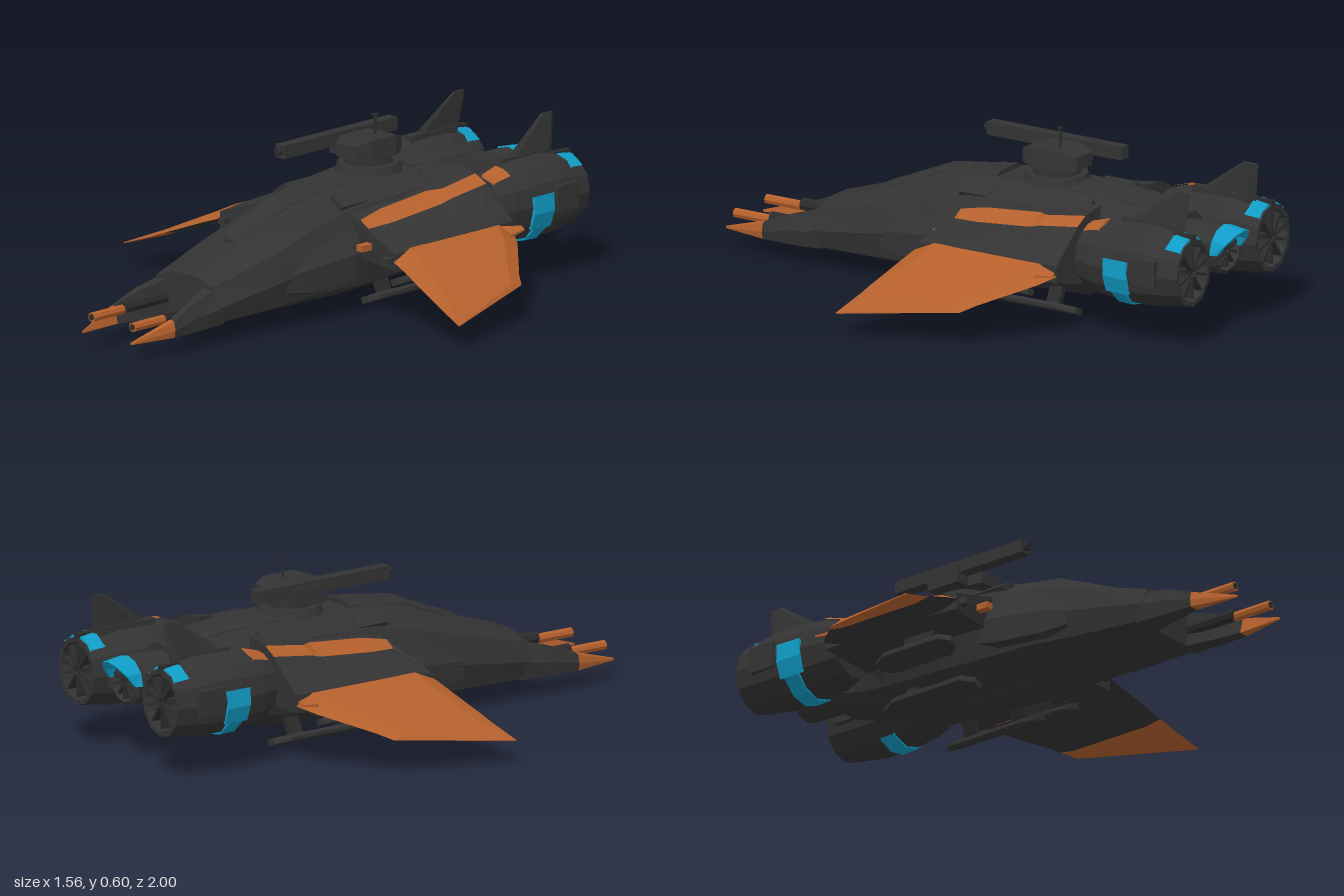
import * as THREE from 'three';

const mat = (name, color) => Object.assign(new THREE.MeshStandardMaterial({ color }), { name });

// Swap two corners of every triangle
function flip(geo) {
  const p = geo.attributes.position, a = new THREE.Vector3(), b = new THREE.Vector3();
  for (let i = 0; i < p.count; i += 3) {
    a.fromBufferAttribute(p, i + 1); b.fromBufferAttribute(p, i + 2);
    p.setXYZ(i + 1, b.x, b.y, b.z); p.setXYZ(i + 2, a.x, a.y, a.z);
  }
  return geo;
}

// Signed volume, used to turn a closed loft outward
function volume(geo) {
  const p = geo.attributes.position, v = [0, 1, 2].map(() => new THREE.Vector3());
  let sum = 0;
  for (let i = 0; i < p.count; i += 3) {
    v.forEach((q, k) => q.fromBufferAttribute(p, i + k));
    sum += v[0].dot(v[1].clone().cross(v[2]));
  }
  return sum;
}

// Skin a list of rings and cap both ends; edges picked by isSecond go to material group 1
function loft(rings, isSecond = () => false) {
  const n = rings[0].length, tris = [[], []];
  for (let i = 0; i < rings.length - 1; i++) {
    for (let k = 0; k < n; k++) {
      const m = (k + 1) % n, A = rings[i], B = rings[i + 1];
      tris[isSecond(k) ? 1 : 0].push(...A[k], ...A[m], ...B[k], ...A[m], ...B[m], ...B[k]);
    }
  }
  const end = rings[rings.length - 1];
  for (let k = 1; k < n - 1; k++) {
    tris[0].push(...rings[0][0], ...rings[0][k + 1], ...rings[0][k]);
    tris[0].push(...end[0], ...end[k], ...end[k + 1]);
  }
  const geo = new THREE.BufferGeometry();
  geo.setAttribute('position', new THREE.Float32BufferAttribute([...tris[0], ...tris[1]], 3));
  geo.addGroup(0, tris[0].length / 3, 0);
  geo.addGroup(tris[0].length / 3, tris[1].length / 3, 1);
  return volume(geo) < 0 ? flip(geo) : geo;
}

const ring = (z, pts) => pts.map(([x, y]) => [x, y, z]);
const symRing = (z, half) => ring(z, [...half, ...half.map(([x, y]) => [-x, y]).reverse()]);

// Wing cross-section at x: sharp leading and trailing edge, flat top and bottom
function wingRing([x, y, zf, zb, t]) {
  const a = zf + (zb - zf) * 0.14, b = zf + (zb - zf) * 0.88, m = y - t * 0.6;
  return [[x, m, zf], [x, y, a], [x, y, b], [x, m, zb], [x, y - t, b], [x, y - t, a]];
}

// Shoulder cross-section: hull side, stripe edges, outer edge swept by dz
function shoulderRing(z, [xi, yi], [xo, yo], y, dz) {
  return [[0.14, yi + 0.015, z], [xi, yi, z], [xo, yo, z], [0.411, y, z + dz],
    [0.411, y - 0.06, z + dz], [0.18, 0.2, z]];
}

// Turned part along z; profile is [radius, distance behind the origin], angle 0 is up
function turned(profile, segs = 12, start = 0, length = 360) {
  const pts = profile.map(([r, d]) => new THREE.Vector2(r, d));
  const rad = THREE.MathUtils.degToRad;
  return new THREE.LatheGeometry(pts, segs, rad(start), rad(length)).rotateX(-Math.PI / 2);
}

const box = (w, h, d) => new THREE.BoxGeometry(w, h, d);
const rod = (r, len, segs = 8) => new THREE.CylinderGeometry(r, r, len, segs).rotateX(Math.PI / 2);

export function createModel() {
  const model = new THREE.Group();
  model.name = 'gunship';
  const hull = mat('charcoal hull', 0x333333);
  const dark = mat('dark metal', 0x2b2b2b);
  const orange = mat('burnt orange', 0xb4602c);
  const cyan = mat('cyan', 0x109cc6);

  // Flat-faced mesh, placed and optionally mirrored across x
  function add(name, geo, material, { at = [0, 0, 0], tilt = 0, pair = false } = {}) {
    if (geo.index) geo = geo.toNonIndexed();
    geo.rotateZ(tilt).translate(...at);
    geo.computeVertexNormals();
    const put = (g, label) => {
      const mesh = new THREE.Mesh(g, material);
      mesh.name = label;
      model.add(mesh);
    };
    put(geo, pair ? name + 'Left' : name);
    if (pair) {
      const other = flip(geo.clone().scale(-1, 1, 1));
      other.computeVertexNormals();
      put(other, name + 'Right');
    }
  }
  const pair = true;

  // Main fuselage
  add('fuselage', loft([
    symRing(0.63, [[0.06, 0.06], [0.15, 0.075], [0.165, 0.13], [0.13, 0.195], [0.055, 0.22]]),
    symRing(0.38, [[0.08, 0.05], [0.17, 0.085], [0.19, 0.17], [0.16, 0.26], [0.06, 0.3]]),
    symRing(0.18, [[0.09, 0.05], [0.185, 0.1], [0.205, 0.2], [0.155, 0.315], [0.065, 0.38]]),
    symRing(0, [[0.1, 0.05], [0.2, 0.1], [0.225, 0.22], [0.16, 0.355], [0.08, 0.41]]),
    symRing(-0.2, [[0.1, 0.06], [0.2, 0.11], [0.24, 0.24], [0.18, 0.37], [0.1, 0.42]]),
    symRing(-0.45, [[0.1, 0.08], [0.18, 0.13], [0.22, 0.25], [0.17, 0.38], [0.1, 0.42]]),
    symRing(-0.58, [[0.08, 0.13], [0.13, 0.17], [0.145, 0.27], [0.13, 0.36], [0.08, 0.41]]),
    symRing(-0.77, [[0.06, 0.19], [0.1, 0.22], [0.105, 0.29], [0.09, 0.35], [0.05, 0.385]]),
  ]), hull);

  // Dorsal spine, cockpit ridge and keel
  add('cockpitRidge', loft([
    symRing(0.42, [[0.03, 0.25], [0.035, 0.285], [0.02, 0.3]]),
    symRing(0.18, [[0.06, 0.35], [0.055, 0.385], [0.035, 0.4]]),
    symRing(-0.06, [[0.08, 0.38], [0.07, 0.42], [0.05, 0.43]]),
  ]), hull);
  add('dorsalSpine', loft([
    symRing(-0.36, [[0.09, 0.4], [0.085, 0.425], [0.06, 0.432]]),
    symRing(-0.6, [[0.085, 0.38], [0.075, 0.415], [0.05, 0.422]]),
    symRing(-0.74, [[0.06, 0.36], [0.05, 0.385], [0.035, 0.392]]),
  ]), hull);
  add('keel', loft([
    symRing(0.16, [[0.03, 0.05], [0.06, 0.07]]),
    symRing(0.05, [[0.04, 0.035], [0.09, 0.08]]),
    symRing(-0.4, [[0.04, 0.05], [0.09, 0.1]]),
    symRing(-0.5, [[0.03, 0.09], [0.07, 0.12]]),
  ]), hull);

  // Cheek armour and roof panels
  add('cheekArmour', loft([
    ring(0.33, [[0.15, 0.11], [0.192, 0.13], [0.19, 0.19], [0.15, 0.23]]),
    ring(0.24, [[0.15, 0.09], [0.208, 0.12], [0.208, 0.2], [0.16, 0.27]]),
    ring(0.05, [[0.15, 0.1], [0.228, 0.13], [0.232, 0.22], [0.17, 0.31]]),
    ring(-0.02, [[0.15, 0.13], [0.22, 0.15], [0.22, 0.22], [0.17, 0.28]]),
  ]), hull, { pair });
  for (const [z, y, x] of [[-0.02, 0.375, 0.13], [-0.42, 0.39, 0.145]])
    add('roofPanel', box(0.06, 0.025, 0.12), hull, { at: [x, y, z], tilt: -0.6, pair });

  // Nose prongs with orange tips and inset guns
  const prongCut = [[0.115, 0.065], [0.15, 0.065], [0.155, 0.09], [0.148, 0.12], [0.13, 0.125]];
  add('noseProng', loft([
    ring(0.6, [[0.07, 0.06], [0.155, 0.07], [0.165, 0.13], [0.13, 0.19], [0.075, 0.195]]),
    ring(0.72, [[0.095, 0.062], [0.155, 0.066], [0.16, 0.115], [0.14, 0.165], [0.11, 0.165]]),
    ring(0.83, prongCut),
  ]), hull, { pair });
  add('prongTip', loft([
    ring(0.83, prongCut),
    ring(1, [[0.11, 0.065], [0.116, 0.065], [0.116, 0.069], [0.114, 0.072], [0.11, 0.072]]),
  ]), orange, { pair });
  add('noseGun', rod(0.022, 0.24), dark, { at: [0.093, 0.125, 0.71], pair });
  add('noseGunMuzzle', rod(0.017, 0.15), orange, { at: [0.095, 0.118, 0.9], pair });
  add('noseGunBore', rod(0.011, 0.01), dark, { at: [0.095, 0.118, 0.973], pair });

  // Shoulder rising to the rear, with a narrow orange stripe
  add('shoulder', loft([
    shoulderRing(0, [0.205, 0.325], [0.245, 0.302], 0.25, 0.04),
    shoulderRing(-0.1, [0.2, 0.345], [0.262, 0.31], 0.262, 0),
    shoulderRing(-0.32, [0.2, 0.365], [0.27, 0.332], 0.264, 0),
    shoulderRing(-0.36, [0.235, 0.372], [0.278, 0.345], 0.264, 0),
    shoulderRing(-0.52, [0.235, 0.395], [0.285, 0.368], 0.262, 0),
  ], k => k === 1), [hull, orange], { pair });

  // Wings: orange above, dark below except at the tip
  const wing = [
    [0.41, 0.262, 0.05, -0.52, 0.06], [0.47, 0.232, 0.06, -0.48, 0.045],
    [0.62, 0.162, 0.09, -0.335, 0.025], [0.665, 0.141, 0.098, -0.3, 0.02],
    [0.782, 0.09, 0.12, 0.11, 0.004],
  ].map(wingRing);
  add('wingPanel', loft(wing.slice(0, 3), k => k > 2), [orange, hull], { pair });
  add('wingTip', loft(wing.slice(2)), orange, { pair });
  add('wingSpur', loft([
    ring(-0.46, [[0.41, 0.24], [0.46, 0.225], [0.46, 0.235], [0.41, 0.255]]),
    ring(-0.53, [[0.44, 0.24], [0.455, 0.235], [0.455, 0.24], [0.44, 0.25]]),
  ]), orange, { pair });
  // Small probes on the wing leading edge
  for (const [x, y, m] of [[0.265, 0.25, orange], [0.38, 0.225, hull]])
    add('wingProbe', box(0.028, 0.022, 0.07), m, { at: [x, y, 0.03], pair });

  // Landing skids and underwing pods share one tapered plate
  const plate = (len, w) => loft([[0, 0.4], [0.12, 1], [0.85, 1], [1, 0.4]].map(([t, s]) =>
    symRing(len * (0.5 - t), [[w * s * 0.9, -0.011], [w * s, 0], [w * s * 0.9, 0.011]])));
  add('landingSkid', plate(0.39, 0.05), hull, { at: [0.17, 0.033, -0.255], tilt: 0.42, pair });
  for (const z of [-0.15, -0.35])
    add('skidStrut', box(0.025, 0.08, 0.05), dark, { at: [0.155, 0.075, z], tilt: 0.42, pair });
  add('underwingPod', plate(0.32, 0.045), hull, { at: [0.325, 0.125, -0.2], tilt: 0.42, pair });
  add('underwingPylon', box(0.025, 0.13, 0.12), dark, { at: [0.305, 0.18, -0.2], tilt: 0.3, pair });

  // Side engines, slightly taller than wide
  const cx = 0.24, cy = 0.27, engine = { at: [cx, cy, 0], pair };
  const pod = (...args) => turned(...args).scale(0.93, 1.05, 1);
  add('enginePod', pod([[0, 0.54], [0.1, 0.54], [0.12, 0.6], [0.131, 0.7], [0.132, 0.82],
    [0.12, 0.9], [0.112, 0.955], [0.096, 0.955], [0.087, 0.89], [0, 0.89]]), hull, engine);
  add('engineHood', pod([[0.118, 0.892], [0.125, 0.894], [0.118, 0.948], [0.11, 0.95]], 3, -45, 90), cyan, engine);
  add('engineHoodClip', box(0.022, 0.016, 0.075), dark, { at: [cx, cy + 0.123, -0.92], pair });
  add('engineBand', pod([[0.126, 0.67], [0.136, 0.672], [0.138, 0.765], [0.128, 0.767]], 2, 75, 50), cyan, engine);
  add('engineBellyBand', pod([[0.126, 0.688], [0.136, 0.69], [0.138, 0.748], [0.128, 0.75]], 3, 125, 90), cyan, engine);
  add('enginePatch', pod([[0.1, 0.545], [0.109, 0.55], [0.127, 0.615], [0.117, 0.62]], 2, -2, 36), orange, engine);
  add('engineOuterBox', box(0.03, 0.09, 0.1), hull, { at: [0.352, 0.28, -0.83], pair });
  add('engineInnerBox', box(0.03, 0.1, 0.16), hull, { at: [0.128, 0.28, -0.82], pair });
  add('engineTopRail', box(0.03, 0.03, 0.22), hull, { at: [0.215, 0.4, -0.77], pair });
  add('engineHub', rod(0.03, 0.06, 10), dark, { at: [cx, cy, -0.91], pair });

  // Tail fins
  add('tailFin', loft([
    [[0.218, 0.39, -0.66], [0.228, 0.39, -0.7], [0.228, 0.39, -0.88], [0.218, 0.39, -0.9], [0.208, 0.39, -0.88], [0.208, 0.39, -0.7]],
    [[0.205, 0.53, -0.86], [0.21, 0.53, -0.87], [0.21, 0.53, -0.91], [0.205, 0.53, -0.92], [0.2, 0.53, -0.91], [0.2, 0.53, -0.87]],
  ]), hull, { pair });

  // Central engine and its slanted hood
  add('centreEngine', turned([[0, 0.7], [0.08, 0.7], [0.085, 0.8], [0.083, 0.925], [0.07, 0.935],
    [0.062, 0.89], [0, 0.89]]), hull, { at: [0, 0.285, 0] });
  const hood = turned([[0.08, 0.915], [0.089, 0.917], [0.08, 0.95], [0.066, 0.95], [0.066, 0.925]], 6, -90, 180);
  const hp = hood.attributes.position;
  for (let i = 0; i < hp.count; i++)
    if (hp.getZ(i) < -0.94) hp.setZ(i, -0.94 - 0.75 * Math.max(0, hp.getY(i)));
  add('centreEngineHood', hood, cyan, { at: [0, 0.285, 0] });

  // Radial exhaust vanes
  for (const [x, y, r, z] of [[cx, cy, 0.1, -0.93], [-cx, cy, 0.1, -0.93], [0, 0.285, 0.066, -0.91]]) {
    for (let i = 0; i < 10; i++) {
      const vane = box(0.008, r * 0.75, 0.045).translate(0, r * 0.53, 0);
      add('exhaustVane', vane, dark, { at: [x, y, z], tilt: i * Math.PI / 5 });
    }
  }

  // Turret with a long offset cannon and an aerial
  const drum = (r1, r2, h) => new THREE.CylinderGeometry(r1, r2, h, 16);
  add('turretRing', drum(0.105, 0.115, 0.03), hull, { at: [0, 0.432, -0.25] });
  add('turretNeck', drum(0.07, 0.085, 0.03), dark, { at: [0, 0.458, -0.25] });
  add('turretBody', loft([
    symRing(-0.14, [[0.045, 0.475], [0.045, 0.52]]),
    symRing(-0.19, [[0.07, 0.465], [0.065, 0.535]]),
    symRing(-0.31, [[0.07, 0.465], [0.065, 0.535]]),
    symRing(-0.36, [[0.045, 0.475], [0.045, 0.52]]),
  ]), hull);
  add('cannonMount', box(0.08, 0.065, 0.13), hull, { at: [-0.08, 0.497, -0.25] });
  add('cannonBarrel', box(0.042, 0.045, 0.54), hull, { at: [-0.092, 0.522, -0.19] });
  add('cannonMuzzle', rod(0.014, 0.02), dark, { at: [-0.092, 0.522, 0.085] });
  add('aerial', drum(0.004, 0.004, 0.08), dark, { at: [0.012, 0.565, -0.27] });
  add('aerialHead', box(0.02, 0.008, 0.01), dark, { at: [0.012, 0.603, -0.27] });

  return model;
}
